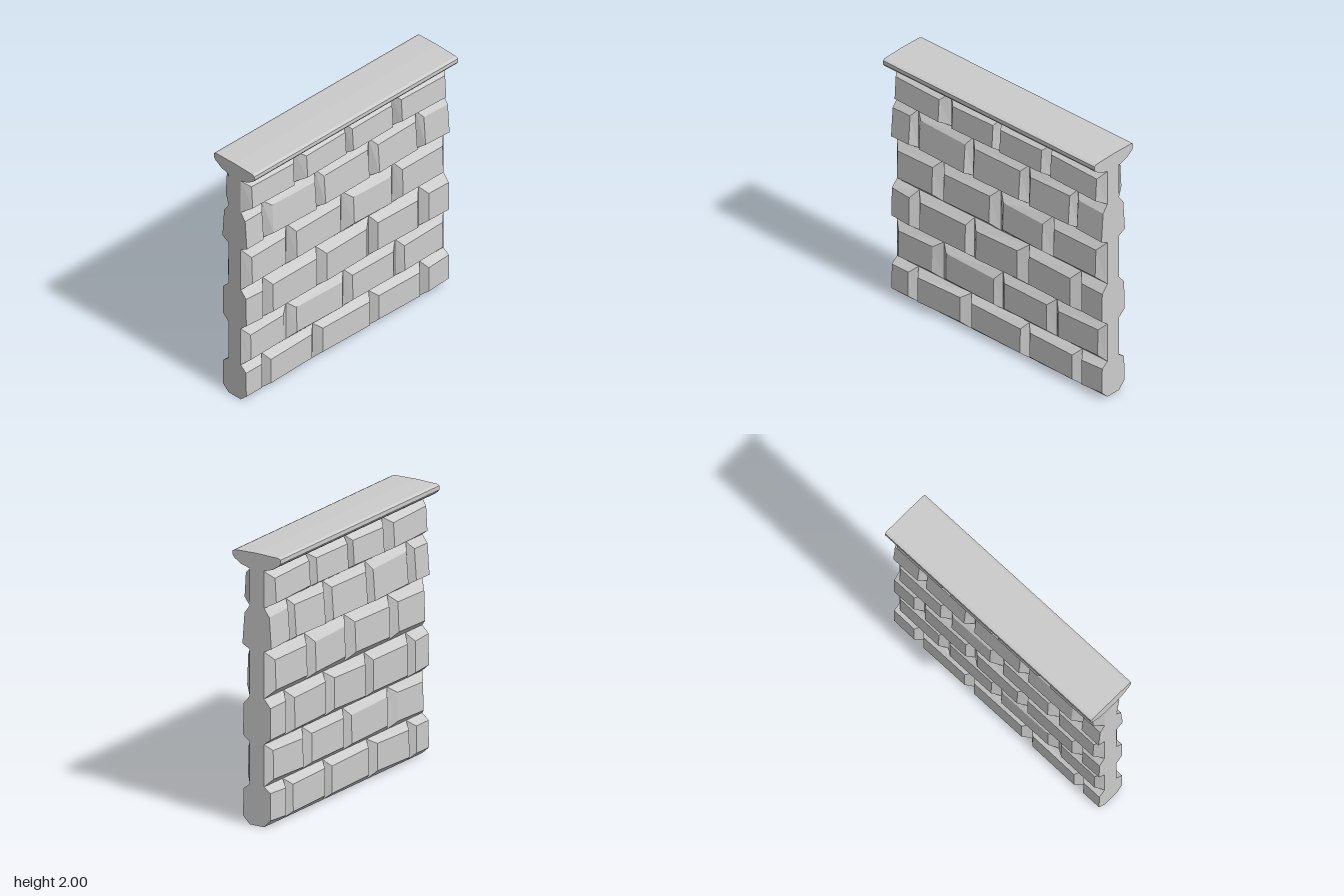
import * as THREE from 'three';

const CORE = 0.06; // half thickness of the wall core
const END = 0.995; // half length of the wall

// One course per entry: y range, face y range, depth at face bottom and top,
// joints along z, and the [front, back] z of every stone's raised face.
const courses = [
  { y: [0, 0.295], face: [0.05, 0.25], depth: [0.115, 0.113], joints: [0.79, 0.29, -0.26, -0.76],
    stones: [[END, 0.84], [0.75, 0.35], [0.24, -0.22], [-0.31, -0.71], [-0.8, -END]] },
  { y: [0.295, 0.605], face: [0.34, 0.55], depth: [0.107, 0.103], joints: [0.55, -0.01, -0.52],
    stones: [[0.94, 0.62], [0.49, 0.04], [-0.06, -0.46], [-0.57, -0.945]] },
  { y: [0.605, 0.94], face: [0.65, 0.88], depth: [0.115, 0.113], joints: [0.78, 0.26, -0.26, -0.75],
    stones: [[END, 0.83], [0.73, 0.3], [0.2, -0.19], [-0.3, -0.69], [-0.8, -END]] },
  { y: [0.94, 1.285], face: [1.0, 1.22], depth: [0.121, 0.113], joints: [0.55, 0.01, -0.49],
    stones: [[0.94, 0.61], [0.5, 0.07], [-0.06, -0.43], [-0.54, -0.935]] },
  { y: [1.285, 1.605], face: [1.32, 1.55], depth: [0.121, 0.104], joints: [0.79, 0.27, -0.26, -0.72],
    stones: [[END, 0.83], [0.73, 0.31], [0.22, -0.21], [-0.31, -0.68], [-0.76, -END]] },
  { y: [1.605, 1.875], face: [1.65, 1.83], depth: [0.133, 0.122], joints: [0.48, 0, -0.48],
    stones: [[0.95, 0.54], [0.41, 0.03], [-0.04, -0.43], [-0.52, -0.95]] },
];

// Bevelled stone: a base rectangle on the core and a smaller raised face
function stoneGeometry(side, base, face, depth, skew) {
  const ring = ([z0, z1], [y0, y1], [d0, d1], k) => [
    [d0, y0 - k, z0], [d0, y0 + k, z1], [d1, y1 + k, z1], [d1, y1 - k, z0],
  ].map(([x, y, z]) => [side * x, y, z]);
  const a = ring(base.z, base.y, [CORE, CORE], 0);
  const b = ring(face.z, face.y, depth, skew);
  const quads = [[b[0], b[1], b[2], b[3]]];
  for (let i = 0; i < 4; i++) {
    const j = (i + 1) % 4;
    quads.push([a[i], a[j], b[j], b[i]]);
  }
  const pos = [];
  for (const [p, q, r, s] of quads) {
    const tris = side > 0 ? [p, q, r, p, r, s] : [p, r, q, p, s, r];
    tris.forEach((v) => pos.push(...v));
  }
  const g = new THREE.BufferGeometry();
  g.setAttribute('position', new THREE.Float32BufferAttribute(pos, 3));
  g.computeVertexNormals();
  return g;
}

export function createModel() {
  const model = new THREE.Group();
  model.name = 'stoneWall';
  const mat = new THREE.MeshStandardMaterial({ color: 0xcccccc, flatShading: true });

  // Flat core behind the stones
  const core = new THREE.Mesh(new THREE.BoxGeometry(CORE * 2, 1.89, END * 2), mat);
  core.name = 'wallCore';
  core.position.y = 0.945;
  model.add(core);

  // Staggered courses, mirrored on both faces
  for (const side of [1, -1]) {
    const facing = new THREE.Group();
    facing.name = side > 0 ? 'leftStones' : 'rightStones';
    courses.forEach((c, row) => {
      const ends = [END, ...c.joints, -END];
      c.stones.forEach((z, i) => {
        const skew = 0.006 * Math.sin(row * 2.3 + i * 1.9);
        const g = stoneGeometry(side, { z: [ends[i], ends[i + 1]], y: c.y },
          { z, y: c.face }, c.depth, skew);
        const stone = new THREE.Mesh(g, mat);
        stone.name = `stone${row + 1}_${i + 1}`;
        facing.add(stone);
      });
    });
    model.add(facing);
  }

  // Coping with a nearly flat top and a rounded underside
  const half = [[0.06, 1.88], [0.13, 1.9], [0.185, 1.935], [0.2, 1.955], [0.2, 1.985], [0.18, 1.995]];
  const outline = [...half, [0, 2], ...half.map(([x, y]) => [-x, y]).reverse()];
  const shape = new THREE.Shape(outline.map(([x, y]) => new THREE.Vector2(x, y)));
  const cap = new THREE.Mesh(
    new THREE.ExtrudeGeometry(shape, { depth: 2, bevelEnabled: false }).translate(0, 0, -1), mat);
  cap.name = 'coping';
  model.add(cap);

  return model;
}
